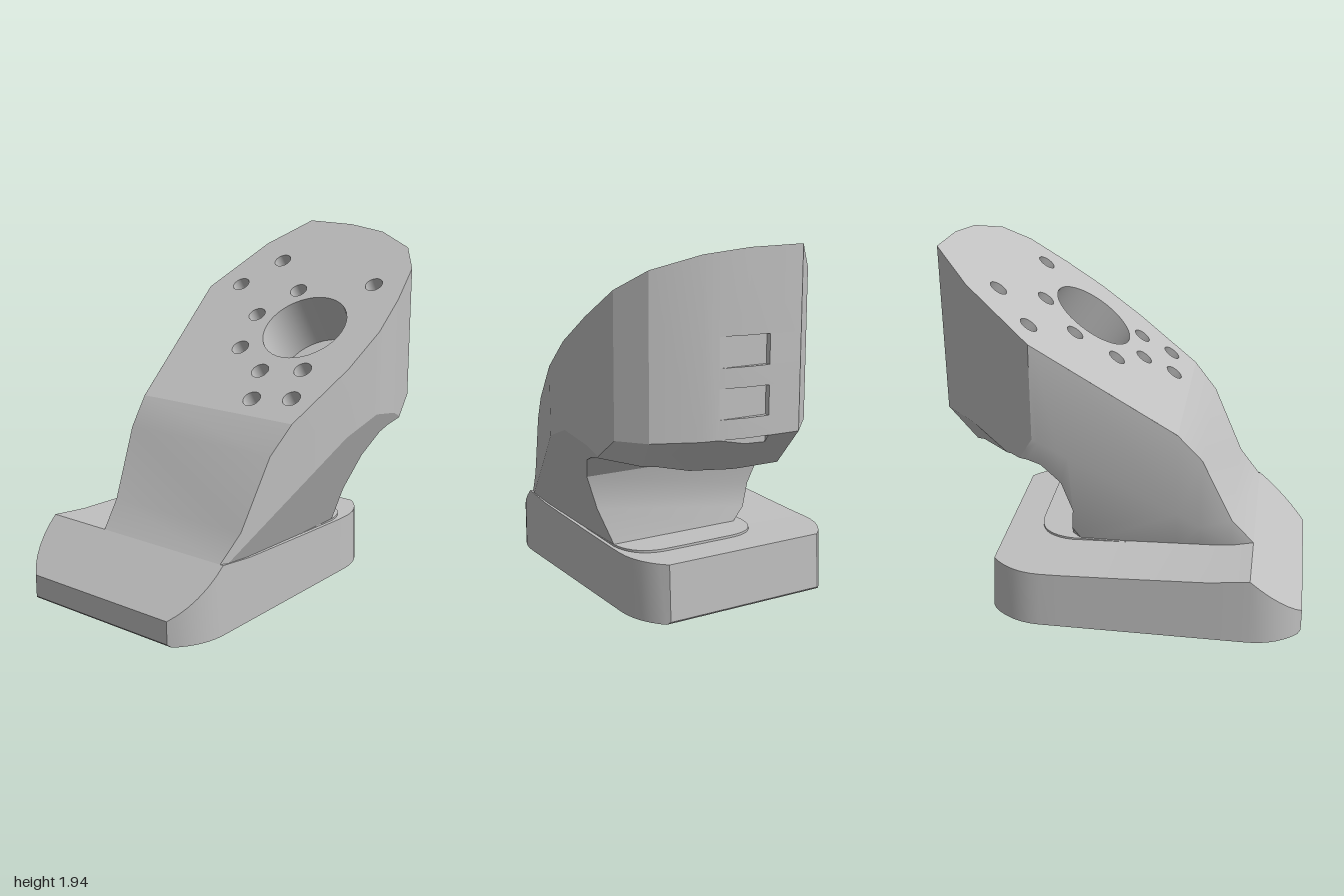
import * as THREE from 'three';
import { toCreasedNormals } from 'three/addons/utils/BufferGeometryUtils.js';

const V = (x, y, z) => new THREE.Vector3(x, y, z);
const SLOPE = Math.atan2(0.9, 1.3);
const topY = x => 1.04 + (x + 0.3) * 0.9 / 1.3;

// Half-space with outward normal n through point p
const half = (n, p) => new THREE.Plane().setFromNormalAndCoplanarPoint(n.clone().normalize(), p);

// Polygon of one plane trimmed by other half-spaces, added as a fan
function addFace(out, plane, others) {
  const n = plane.normal;
  const u = (Math.abs(n.y) > 0.9 ? V(1, 0, 0) : V(0, 1, 0)).cross(n).normalize();
  const v = n.clone().cross(u);
  const c = n.clone().multiplyScalar(-plane.constant);
  let poly = [[5, 5], [-5, 5], [-5, -5], [5, -5]]
    .map(([a, b]) => c.clone().addScaledVector(u, a).addScaledVector(v, b));
  for (const o of others) {
    if (o === plane) continue;
    const next = [];
    poly.forEach((p, i) => {
      const q = poly[(i + 1) % poly.length];
      const dp = o.distanceToPoint(p), dq = o.distanceToPoint(q);
      if (dp <= 1e-6) next.push(p);
      if ((dp <= 1e-6) !== (dq <= 1e-6)) next.push(p.clone().lerp(q, dp / (dp - dq)));
    });
    poly = next;
  }
  for (let i = 1; i < poly.length - 1; i++) {
    const t = [poly[0], poly[i], poly[i + 1]];
    if (new THREE.Triangle(...t).getArea() > 1e-7) t.forEach(p => out.push(p.x, p.y, p.z));
  }
}

const addCell = (out, shown, hidden) =>
  shown.forEach(p => addFace(out, p, [...shown, ...hidden]));

function interp(list, x) {
  let i = 1;
  while (i < list.length - 1 && x > list[i][0]) i++;
  const [a, b] = [list[i - 1], list[i]];
  return a[1] + (b[1] - a[1]) * (x - a[0]) / (b[0] - a[0]);
}

// Fill between a lower and an upper profile, column by column, inside the wall planes
function addColumns(out, lower, upper, x0, x1, walls, openTopFrom = 9, hidden = []) {
  const xs = [x0, x1, ...lower.map(p => p[0]), ...upper.map(p => p[0])]
    .filter((x, i, a) => x >= x0 && x <= x1 && a.indexOf(x) === i).sort((a, b) => a - b);
  for (let i = 0; i < xs.length - 1; i++) {
    const [a, b] = [xs[i], xs[i + 1]];
    const plane = (list, s) => {
      const ya = interp(list, a), yb = interp(list, b);
      return half(V(-(yb - ya) * s, (b - a) * s, 0), V(a, ya, 0));
    };
    const top = plane(upper, 1), sides = [half(V(-1, 0, 0), V(a, 0, 0)), half(V(1, 0, 0), V(b, 0, 0))];
    const shown = [...walls, plane(lower, -1)], rest = [...sides, ...hidden];
    if (a >= openTopFrom) rest.push(top); else shown.push(top);
    addCell(out, shown, rest);
  }
}

// Upright walls around a plan outline, leaning by lean(normal) per unit height above y0
function planWalls(outline, y0 = 0, lean = () => 0, keep = () => true) {
  return outline.map(([x, z], i) => {
    const [x2, z2] = outline[(i + 1) % outline.length];
    const n = V(z2 - z, 0, x - x2).normalize();
    if (n.dot(V(x, 0, z)) < 0) n.negate();
    if (!keep(n)) return null;
    n.y = lean(n);
    return half(n, V(x, y0, z));
  }).filter(Boolean);
}

function finish(out, angle) {
  const g = new THREE.BufferGeometry();
  g.setAttribute('position', new THREE.Float32BufferAttribute(out, 3));
  g.computeVertexNormals();
  return toCreasedNormals(g, angle);
}

function baseGeometry() {
  // Corner arcs run tangent into the long sides and meet the ends at an edge
  const outline = [];
  const R = 0.36, SWEEP = Math.asin(0.28 / R);
  const corner = (x, z, sx, sz, reverse) => {
    for (let i = 0; i <= 6; i++) {
      const t = SWEEP * (reverse ? 6 - i : i) / 6;
      outline.push([x + sx * R * Math.sin(t), z - sz * R * (1 - Math.cos(t))]);
    }
  };
  corner(0.41, 0.48, 1, 1, true);
  corner(-0.72, 0.48, -1, 1, false);
  corner(-0.72, -0.74, -1, -1, true);
  corner(0.41, -0.74, 1, -1, false);
  const walls = [
    ...planWalls(outline, 0, n => Math.max(0, n.x) * 0.05),
    ...planWalls(outline, 0.015, () => -1, n => Math.abs(n.x) > 0.9), // softened ends of the foot
  ];
  const upper = [[-1.01, 0.131], [-0.72, 0.38], [-0.5, 0.355], [0, 0.335], [0.3, 0.325], [0.7, 0.32]];
  const out = [];
  addColumns(out, [[-1.01, 0], [0.7, 0]], upper, -1.01, 0.7, walls);
  return finish(out, 0.4);
}

const HEAD = [[0.45, -0.56], [0.8, -0.39], [1, -0.2], [0.99, 0.1], [0.95, 0.34], [0.85, 0.57],
  [0.71, 0.68], [0.5, 0.72], [0.29, 0.735], [0.05, 0.7]];

function bodyGeometry() {
  const outline = [[-0.72, -0.35], ...HEAD, [-0.72, 0.46]];
  const walls = [
    ...planWalls(outline, 0, undefined, n => n.x > -0.9),
    // tapering neck sides and chamfered underside of the head
    half(V(0, -0.42, 1), V(0, 0.34, 0.46)),
    half(V(0, -0.29, -1), V(0, 0.34, -0.36)),
    ...planWalls(outline, 1.02, n => -0.25 - 0.5 * n.x, n => n.x > 0.45),
  ];
  const upper = [[-0.72, 0.38], [-0.6, 0.52], [-0.43, 0.89], [-0.3, 1.04], [1.01, topY(1.01)]];
  const under = [[0.27, 0.54], [0.32, 0.74], [0.42, 0.86], [0.49, 0.89], [0.58, 0.91],
    [0.78, 0.88], [0.85, 0.83], [1.01, 1.033]];
  const foot = [[-0.72, 0.3], [0.295, 0.3]];
  const out = [];
  addColumns(out, foot, upper, -0.72, 0.27, walls, -0.3);
  addColumns(out, foot, [[0.27, 0.54], [0.295, 0.3]], 0.27, 0.295, walls);
  addColumns(out, under, upper, 0.27, 0.965, walls, -0.3);
  addColumns(out, [[0.27, 0.54], [0.295, 0.64]], upper, 0.27, 0.27, walls, -0.3);

  // Nose in bands, some of them cut by wedge slots
  const bands = [[0.8, 0.975], [0.975, 1.02, 1], [1.02, 1.12], [1.12, 1.27, 1], [1.27, 1.37],
    [1.37, 1.52, 1], [1.52, 2.1]];
  for (const [y0, y1, slot] of bands) {
    const limits = [half(V(0, -1, 0), V(0, y0, 0)), half(V(0, 1, 0), V(0, y1, 0))];
    const end = half(V(0, 0, 1), V(0, 0, -0.02));
    addColumns(out, under, upper, 0.965, 1.01, slot ? [...walls, end] : walls, -0.3, limits);
    if (slot) addCell(out, [half(V(-1, 0, 0), V(0.965, 0, 0)), ...limits],
      [...walls, half(V(0, 0, -1), V(0, 0, -0.02))]);
  }
  return finish(out, 0.4);
}

export function createModel() {
  const group = new THREE.Group();
  const grey = new THREE.MeshStandardMaterial({ color: 0xc0c0c0, side: THREE.DoubleSide });
  grey.name = 'plain grey';
  const add = (name, geometry, parent = group) => {
    const mesh = new THREE.Mesh(geometry, grey);
    mesh.name = name;
    parent.add(mesh);
    return mesh;
  };

  add('base', baseGeometry());
  add('neckAndHead', bodyGeometry());

  // Low rounded pad around the foot of the neck
  const pad = new THREE.Shape();
  pad.moveTo(-0.3, -0.46).lineTo(0.29, -0.46);
  pad.quadraticCurveTo(0.49, -0.44, 0.49, -0.24).lineTo(0.49, 0.15);
  pad.quadraticCurveTo(0.49, 0.35, 0.29, 0.37).lineTo(-0.3, 0.37);
  const padGeometry = new THREE.ExtrudeGeometry(pad, { depth: 0.03, bevelEnabled: false, curveSegments: 10 });
  add('footPad', padGeometry.rotateX(-Math.PI / 2)).position.y = 0.306;

  // Sloping top plate pierced by round bores: x, z, radius, depth
  const bores = [[0.26, 0.27, 0.245, 0.33],
    ...[[0.49, -0.355], [0.685, -0.19], [0.3, -0.09], [0.08, -0.04], [0.49, 0.065],
      [-0.04, 0.19], [-0.205, 0.26], [0.005, 0.44], [-0.165, 0.49], [0.58, 0.515]]
      .map(p => [...p, 0.05, 0.25])];
  const plate = new THREE.Shape([[-0.3, -0.425], ...HEAD, [-0.3, 0.591]]
    .map(([x, z]) => new THREE.Vector2(x, -z)));
  for (const [x, z, r] of bores) {
    plate.holes.push(new THREE.Path().absellipse(x, -z, r * Math.cos(SLOPE), r, 0, Math.PI * 2));
  }
  const plateGeometry = new THREE.ShapeGeometry(plate, 20).rotateX(-Math.PI / 2);
  const pos = plateGeometry.attributes.position;
  for (let i = 0; i < pos.count; i++) pos.setY(i, topY(pos.getX(i)));
  plateGeometry.computeVertexNormals();
  add('topPlate', plateGeometry);

  bores.forEach(([x, z, r, depth], i) => {
    const bore = new THREE.Group();
    bore.name = i ? 'screwHole' : 'mainBore';
    bore.position.set(x, topY(x), z);
    bore.rotation.z = SLOPE;
    add('boreWall', new THREE.CylinderGeometry(r, r, depth, 40, 1, true).translate(0, -depth / 2, 0), bore);
    add('boreFloor', new THREE.CircleGeometry(r, 40).rotateX(-Math.PI / 2).translate(0, -depth, 0), bore);
    group.add(bore);
  });
  return group;
}
